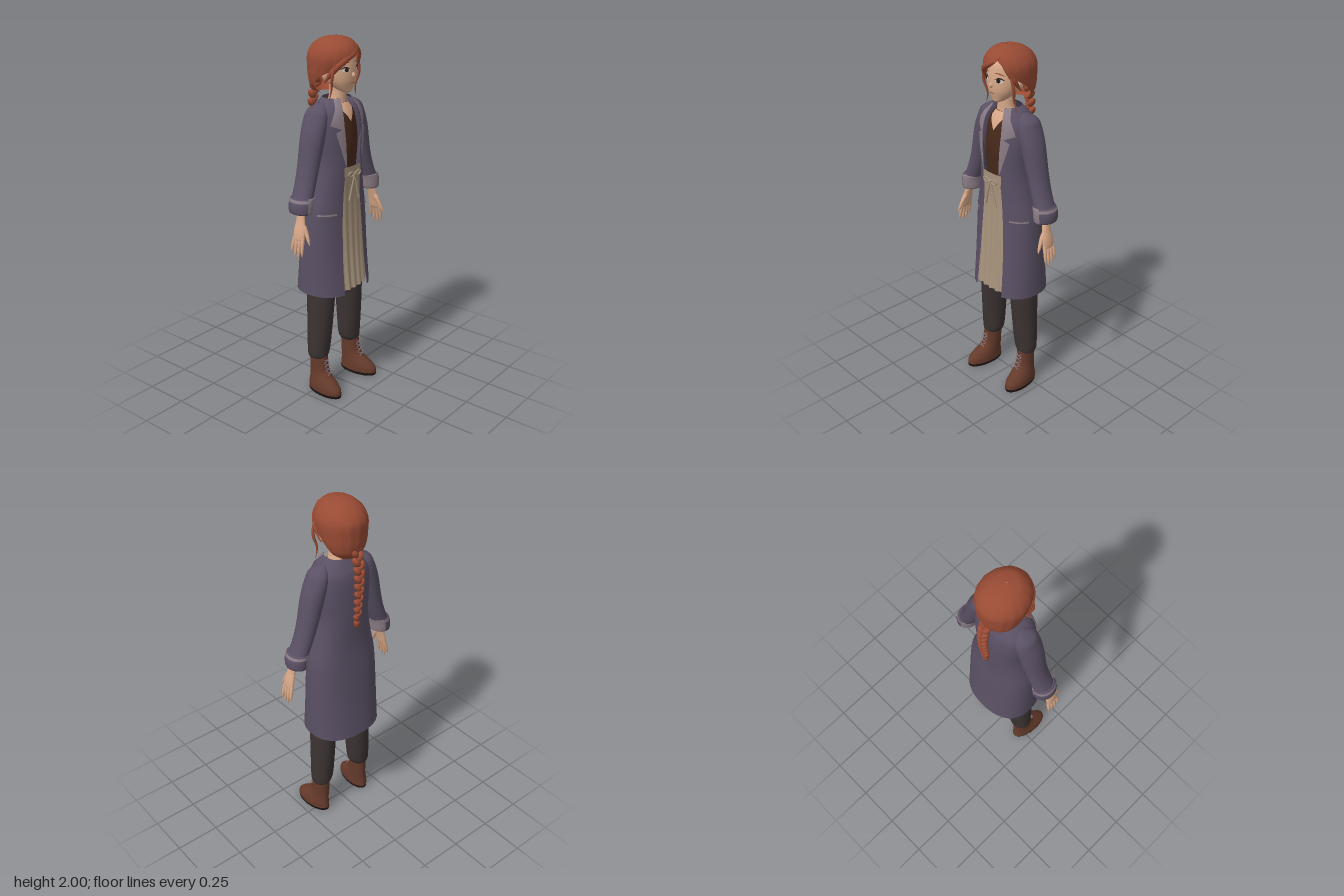
import * as THREE from 'three';

const mat = (name, color, side = THREE.FrontSide) => {
  const m = new THREE.MeshStandardMaterial({ color, side });
  m.name = name;
  return m;
};
const D = THREE.DoubleSide;
const V = (x, y, z) => new THREE.Vector3(x, y, z);

// Surface through a list of point rings (or open rows)
function grid(rings, closed) {
  const n = rings[0].length, pos = [], idx = [];
  rings.forEach(r => r.forEach(p => pos.push(p.x, p.y, p.z)));
  for (let i = 0; i < rings.length - 1; i++)
    for (let j = 0; j < (closed ? n : n - 1); j++) {
      const a = i * n + j, b = i * n + (j + 1) % n;
      idx.push(a, b, a + n, b, b + n, a + n);
    }
  const g = new THREE.BufferGeometry();
  g.setAttribute('position', new THREE.Float32BufferAttribute(pos, 3));
  g.setIndex(idx);
  g.computeVertexNormals();
  return g;
}

// Smoothly subdivide a list of cross-section rows
function refine(sec, n = 5) {
  const out = [], at = i => sec[Math.max(0, Math.min(sec.length - 1, i))];
  for (let i = 0; i < sec.length - 1; i++)
    for (let k = 0; k < n; k++) {
      const t = k / n;
      out.push(sec[i].map((b, c) => {
        const a = at(i - 1)[c], d = at(i + 1)[c], e = at(i + 2)[c];
        return b + 0.5 * t * (d - a + t * (2 * a - 5 * b + 4 * d - e + t * (3 * (b - d) + e - a)));
      }));
    }
  out.push(sec[sec.length - 1]);
  return out;
}

// Loft of [y, cx, cz, rx, rz, startDeg, endDeg], listed from bottom to top
const pw = (v, p) => Math.sign(v) * Math.abs(v) ** p;
function loft(rows, { p = 1, seg = 32, ripple = 0 } = {}) {
  const open = rows[0].length > 5;
  return grid(rows.map(([y, cx, cz, rx, rz, a0 = 0, a1 = 360]) =>
    Array.from({ length: open ? seg + 1 : seg }, (_, j) => {
      const t = (a0 + (a1 - a0) * j / seg) * Math.PI / 180, k = 1 + ripple * Math.cos(t * 16);
      return V(cx + k * rx * pw(Math.sin(t), p), y, cz + k * rz * pw(Math.cos(t), p));
    })), !open);
}

// Front depth of a loft at (x, y)
const frontZ = (rows, p = 1) => (x, y) => {
  let i = 0;
  while (i < rows.length - 2 && rows[i + 1][0] < y) i++;
  const a = rows[i], b = rows[i + 1], t = THREE.MathUtils.clamp((y - a[0]) / (b[0] - a[0]), 0, 1);
  const [cz, rx, rz] = [2, 3, 4].map(c => a[c] + (b[c] - a[c]) * t);
  const s = Math.min(0.99, Math.abs(x) / rx) ** (1 / p);
  return cz + rz * Math.sqrt(1 - s * s) ** p;
};

// Thin panel of [y, xLeft, xRight] rows laid on a depth function
const patch = (rows, zf, cols = 8) => grid(rows.map(([y, x0, x1]) =>
  Array.from({ length: cols + 1 }, (_, j) => {
    const x = x0 + (x1 - x0) * j / cols;
    return V(x, y, zf(x, y));
  })), false);

// Round strand with varying radius along a curve
function sweep(pts, radii, n = 12, seg = 8) {
  const c = new THREE.CatmullRomCurve3(pts.map(p => V(...p))), f = c.computeFrenetFrames(n);
  return grid(Array.from({ length: n + 1 }, (_, i) => {
    const u = i / n, k = Math.min(u * (radii.length - 1), radii.length - 1.0001), m = Math.floor(k);
    const r = radii[m] + (radii[m + 1] - radii[m]) * (k - m), o = c.getPointAt(u);
    return Array.from({ length: seg }, (_, j) => {
      const t = j / seg * 2 * Math.PI;
      return o.clone().addScaledVector(f.normals[i], r * Math.cos(t)).addScaledVector(f.binormals[i], r * Math.sin(t));
    });
  }), true);
}

const ball = (x, y, z, sx, sy, sz, rot = 0) =>
  new THREE.SphereGeometry(1, 16, 12).scale(sx, sy, sz).rotateZ(rot).translate(x, y, z);

function mirrored(g) {
  const m = g.clone().applyMatrix4(new THREE.Matrix4().makeScale(-1, 1, 1)), a = m.index.array;
  for (let i = 0; i < a.length; i += 3) [a[i], a[i + 1]] = [a[i + 1], a[i]];
  return m;
}

export function createModel() {
  const root = new THREE.Group();
  root.name = 'womanInCoat';
  const skin = mat('skin', 0xd8a888), hair = mat('hair', 0x994b34, D), coat = mat('coat', 0x5a5064, D),
    trim = mat('coatTrim', 0x8a7b84, D), shirt = mat('shirt', 0x47291b), apron = mat('apron', 0xa8947d, D),
    trousers = mat('trousers', 0x3b3332), boots = mat('boots', 0x643a2b), dark = mat('dark', 0x2a1c19),
    white = mat('eyeWhite', 0xd8d0c8);
  const add = (name, g, m) => {
    const mesh = new THREE.Mesh(g, m);
    mesh.name = name;
    root.add(mesh);
  };
  const pair = (name, g, m) => { add(name + 'Left', g, m); add(name + 'Right', mirrored(g), m); };

  // Coat body, open at the front: [y, rx, rz, cz, half opening]
  const P = 0.85;
  const coatRows = refine([
    [0.61, 0.215, 0.174, -0.006, 0.1], [0.8, 0.213, 0.152, -0.006, 0.093], [1.0, 0.208, 0.135, -0.004, 0.083],
    [1.1, 0.2, 0.127, -0.001, 0.076], [1.2, 0.178, 0.123, 0.002, 0.068], [1.35, 0.155, 0.127, 0.005, 0.06],
    [1.5, 0.165, 0.124, 0.006, 0.072], [1.6, 0.16, 0.11, 0.006, 0.07], [1.65, 0.125, 0.088, 0.01, 0.06],
    [1.685, 0.076, 0.066, 0.012, 0.045],
  ].map(([y, rx, rz, cz, w]) => {
    const a = Math.asin((w / rx) ** (1 / P)) * 180 / Math.PI;
    return [y, 0, cz, rx, rz, a, 360 - a];
  }));
  const coatZ = frontZ(coatRows, P);
  add('coatBody', loft(coatRows, { p: P, seg: 56 }), coat);

  // Lapels and pocket edges
  const lapel = [[1.33, 0.058, 0.062], [1.45, 0.064, 0.1], [1.52, 0.069, 0.118], [1.535, 0.07, 0.088],
    [1.56, 0.07, 0.14], [1.6, 0.068, 0.125], [1.64, 0.06, 0.1], [1.685, 0.044, 0.07]];
  pair('lapel', patch(lapel, (x, y) => coatZ(x, y) + 0.007), trim);
  pair('pocketEdge', patch([[1.073, 0.12, 0.198], [1.083, 0.12, 0.197]], (x, y) => coatZ(x, y) + 0.005, 10), trim);

  // Sleeves with turned cuffs
  pair('sleeve', loft(refine([
    [1.17, 0.285, 0.01, 0.052, 0.062], [1.25, 0.252, 0.006, 0.05, 0.06], [1.35, 0.219, 0.003, 0.053, 0.062],
    [1.5, 0.18, 0.002, 0.06, 0.07], [1.59, 0.153, 0, 0.053, 0.07], [1.635, 0.14, 0, 0.042, 0.055],
    [1.665, 0.115, 0, 0.008, 0.015]])), coat);
  const cuff = (a0, a1) => loft(refine([[1.115, 0.288, 0.01, 0.048, 0.062, a0, a1], [1.125, 0.289, 0.01, 0.057, 0.069, a0, a1],
    [1.165, 0.287, 0.01, 0.059, 0.07, a0, a1], [1.195, 0.278, 0.01, 0.054, 0.066, a0, a1],
    [1.2, 0.276, 0.01, 0.046, 0.056, a0, a1]], 3), { seg: 20 });
  pair('cuffOuter', cuff(20, 190), coat);
  pair('cuffInner', cuff(190, 380), trim);
  pair('cuffEdge', loft([[1.18, 0.283, 0.01, 0.059, 0.07], [1.195, 0.278, 0.01, 0.057, 0.068]]), trim);

  // Hands
  pair('palm', loft(refine([[0.975, 0.334, 0.03, 0.003, 0.025], [0.985, 0.333, 0.03, 0.013, 0.036],
    [1.03, 0.325, 0.03, 0.016, 0.037], [1.08, 0.312, 0.026, 0.016, 0.028], [1.13, 0.3, 0.018, 0.019, 0.023],
    [1.19, 0.282, 0.012, 0.022, 0.025]], 4), { seg: 16 }), skin);
  [0.895, 0.878, 0.884, 0.91].forEach((tip, i) => {
    const z = 0.057 - 0.018 * i, z2 = 0.066 - 0.024 * i;
    pair('finger' + (i + 1), sweep([[0.33, 1.0, z], [0.343, 0.95, (z + z2) / 2], [0.351, tip, z2]],
      [0.009, 0.0105, 0.01, 0.009, 0.007, 0.001]), skin);
  });
  pair('thumb', sweep([[0.313, 1.07, 0.04], [0.318, 1.02, 0.07], [0.326, 0.96, 0.098]],
    [0.01, 0.014, 0.012, 0.01, 0.008, 0.001]), skin);

  // Shirt, neck and neckline
  const shirtRows = refine([[1.2, 0, 0.004, 0.13, 0.1], [1.32, 0, 0.004, 0.125, 0.107], [1.45, 0, 0.005, 0.13, 0.114],
    [1.58, 0, 0.006, 0.115, 0.098], [1.64, 0, 0.012, 0.08, 0.07], [1.665, 0, 0.018, 0.045, 0.045]]);
  const shirtZ = frontZ(shirtRows);
  add('shirt', loft(shirtRows), shirt);
  add('neckline', patch([[1.565, -0.002, 0.002], [1.6, -0.024, 0.024], [1.63, -0.045, 0.045], [1.66, -0.04, 0.04]],
    (x, y) => shirtZ(x, y) + 0.006), skin);
  add('neck', loft(refine([[1.62, 0, 0.015, 0.07, 0.06], [1.66, 0, 0.018, 0.054, 0.05],
    [1.7, 0, 0.022, 0.046, 0.045], [1.78, 0, 0.02, 0.046, 0.045]])), skin);

  // Apron with pleats growing towards the hem
  const apronZ = (x, y) => coatZ(x, y) - 0.004 + (1.32 - y) * (0.009 * Math.cos(x * 130) - 0.022);
  add('apron', patch(Array.from({ length: 16 }, (_, i) => {
    const y = 0.625 + 0.7 * i / 15, w = 0.135 - 0.03 * i / 15;
    return [y, -w, w];
  }), apronZ, 40), apron);
  add('apronBand', patch([[1.275, -0.07, 0.07], [1.3, -0.07, 0.07], [1.328, -0.07, 0.07]], (x, y) => coatZ(x, y) + 0.002), apron);
  add('bowKnot', ball(0, 1.283, 0.138, 0.009, 0.01, 0.008), apron);
  pair('bowLoop', sweep([[0, 1.283, 0.138], [0.03, 1.298, 0.141], [0.052, 1.287, 0.138], [0.03, 1.272, 0.141],
    [0, 1.282, 0.138]], [0.004, 0.005, 0.004], 20, 6), apron);
  pair('bowTail', sweep([[0, 1.28, 0.138], [0.018, 1.22, 0.137], [0.04, 1.14, 0.135]], [0.004, 0.005, 0.006], 10, 6), apron);

  // Trousers
  add('hips', loft(refine([[0.72, 0, 0, 0.04, 0.05], [0.8, 0, 0, 0.15, 0.09], [1.0, 0, 0, 0.155, 0.1], [1.25, 0, 0, 0.125, 0.095]])), trousers);
  pair('trouserLeg', loft(refine([[0.205, 0.146, 0, 0.04, 0.045], [0.215, 0.144, 0, 0.055, 0.056], [0.26, 0.138, 0, 0.067, 0.062],
    [0.4, 0.131, 0.002, 0.069, 0.073], [0.6, 0.121, 0.004, 0.071, 0.084], [0.85, 0.095, 0.002, 0.085, 0.088]])), trousers);

  // Boots, toes turned slightly outwards
  const turn = g => g.rotateY(0.1).translate(-0.003, 0, 0.015);
  const sole = [[0, 0.155, 0.06, 0.001, 0.001], [0, 0.155, 0.06, 0.054, 0.116], [0.018, 0.155, 0.06, 0.057, 0.119]];
  pair('sole', turn(loft(sole)), dark);
  pair('boot', turn(loft(refine([[0.016, 0.155, 0.06, 0.056, 0.118], [0.045, 0.155, 0.058, 0.056, 0.113],
    [0.075, 0.153, 0.043, 0.051, 0.094], [0.105, 0.15, 0.022, 0.046, 0.072], [0.14, 0.148, 0.009, 0.045, 0.059],
    [0.225, 0.147, 0.002, 0.046, 0.054]]))), boots);
  for (let i = 0; i < 4; i++) {
    const y = 0.115 + i * 0.023, z = [0.093, 0.078, 0.07, 0.066][i], z2 = [0.082, 0.074, 0.068, 0.064][i];
    for (const s of [-1, 1])
      pair('lace' + i, sweep([[0.148 - s * 0.02, y, z - 0.003], [0.148, y + 0.01, (z + z2) / 2 + 0.003],
        [0.148 + s * 0.02, y + 0.02, z2 - 0.003]], [0.0025, 0.0025], 6, 5), trim);
  }

  // Head
  const headRows = refine([[1.712, 0, 0.08, 0.004, 0.004], [1.718, 0, 0.078, 0.026, 0.026], [1.738, 0, 0.06, 0.053, 0.05],
    [1.775, 0, 0.043, 0.08, 0.077], [1.82, 0, 0.027, 0.095, 0.096], [1.87, 0, 0.012, 0.1, 0.108],
    [1.92, 0, 0.008, 0.095, 0.1], [1.96, 0, 0, 0.06, 0.065]]);
  const headZ = frontZ(headRows);
  add('head', loft(headRows), skin);
  add('nose', ball(0, 1.808, 0.122, 0.009, 0.014, 0.014), skin);
  pair('ear', ball(0.1, 1.81, 0.018, 0.012, 0.03, 0.018, -0.15), skin);

  // Face details laid on the head
  const decal = (cx, cy, rx, ry, off) => {
    const g = new THREE.CircleGeometry(1, 20).scale(rx, ry, 1).translate(cx, cy, 0), a = g.attributes.position;
    for (let i = 0; i < a.count; i++) a.setZ(i, headZ(a.getX(i), a.getY(i)) + off);
    g.computeVertexNormals();
    return g;
  };
  const line = (pts, r) => sweep(pts.map(([x, y]) => [x, y, headZ(x, y) + 0.002]), r, 10, 6);
  pair('eyeWhite', decal(0.045, 1.838, 0.019, 0.011, 0.003), white);
  pair('iris', decal(0.044, 1.838, 0.01, 0.0105, 0.005), dark);
  pair('lash', line([[0.024, 1.841], [0.045, 1.851], [0.068, 1.842]], [0.001, 0.004, 0.002]), dark);
  pair('brow', line([[0.022, 1.875], [0.045, 1.873], [0.07, 1.862]], [0.002, 0.003, 0.001]), hair);
  add('mouth', line([[-0.018, 1.766], [0, 1.768], [0.018, 1.766]], [0.001, 0.003, 0.001]), hair);

  // Hair cap with a side parting
  add('hairCap', loft(refine([
    [1.7, 0, -0.05, 0.045, 0.045, 100, 260], [1.74, 0, -0.046, 0.096, 0.084, 96, 264], [1.79, 0, -0.03, 0.117, 0.113, 85, 277],
    [1.84, 0, -0.015, 0.126, 0.132, 62, 312], [1.88, 0, -0.007, 0.13, 0.142, 48, 332], [1.91, 0, -0.004, 0.127, 0.142, 38, 355],
    [1.94, 0, 0, 0.114, 0.13, 24, 382], [1.965, 0, 0.004, 0.094, 0.108, 22, 382], [1.988, 0, 0.01, 0.06, 0.07, 22, 382],
    [2.0, 0, 0.015, 0.003, 0.003, 22, 382]]), { seg: 64, ripple: 0.008 }), hair);

  // Fringe locks and loose strands
  add('fringeRight', sweep([[0.05, 1.955, 0.108], [0, 1.92, 0.128], [-0.06, 1.885, 0.112], [-0.098, 1.83, 0.068], [-0.106, 1.77, 0.02]],
    [0.004, 0.014, 0.018, 0.016, 0.003], 20), hair);
  add('fringeLeft', sweep([[0.045, 1.955, 0.11], [0.078, 1.91, 0.1], [0.1, 1.85, 0.068], [0.107, 1.78, 0.02]],
    [0.004, 0.013, 0.015, 0.003], 18), hair);
  pair('looseStrand', sweep([[0.095, 1.88, 0.085], [0.112, 1.8, 0.075], [0.1, 1.73, 0.06], [0.115, 1.675, 0.055]],
    [0.004, 0.009, 0.006, 0.001], 16, 6), hair);

  // Braid down the back
  const path = new THREE.CatmullRomCurve3([V(0, 1.765, -0.115), V(0, 1.68, -0.143), V(0, 1.55, -0.15), V(0, 1.37, -0.138)]);
  for (let i = 0; i < 18; i++) {
    const s = i % 2 ? 1 : -1, q = path.getPointAt(i / 17), k = 1 - 0.35 * i / 17;
    add('braidLink' + i, ball(s * 0.012 * k, q.y, q.z, 0.019 * k, 0.033 * k, 0.025 * k, -s * 0.6), hair);
  }
  add('braidTie', ball(0, 1.358, -0.137, 0.013, 0.008, 0.013), boots);
  add('braidTip', sweep([[0, 1.36, -0.137], [0, 1.335, -0.135], [0, 1.295, -0.13]], [0.01, 0.018, 0.014, 0.001]), hair);
  return root;
}
